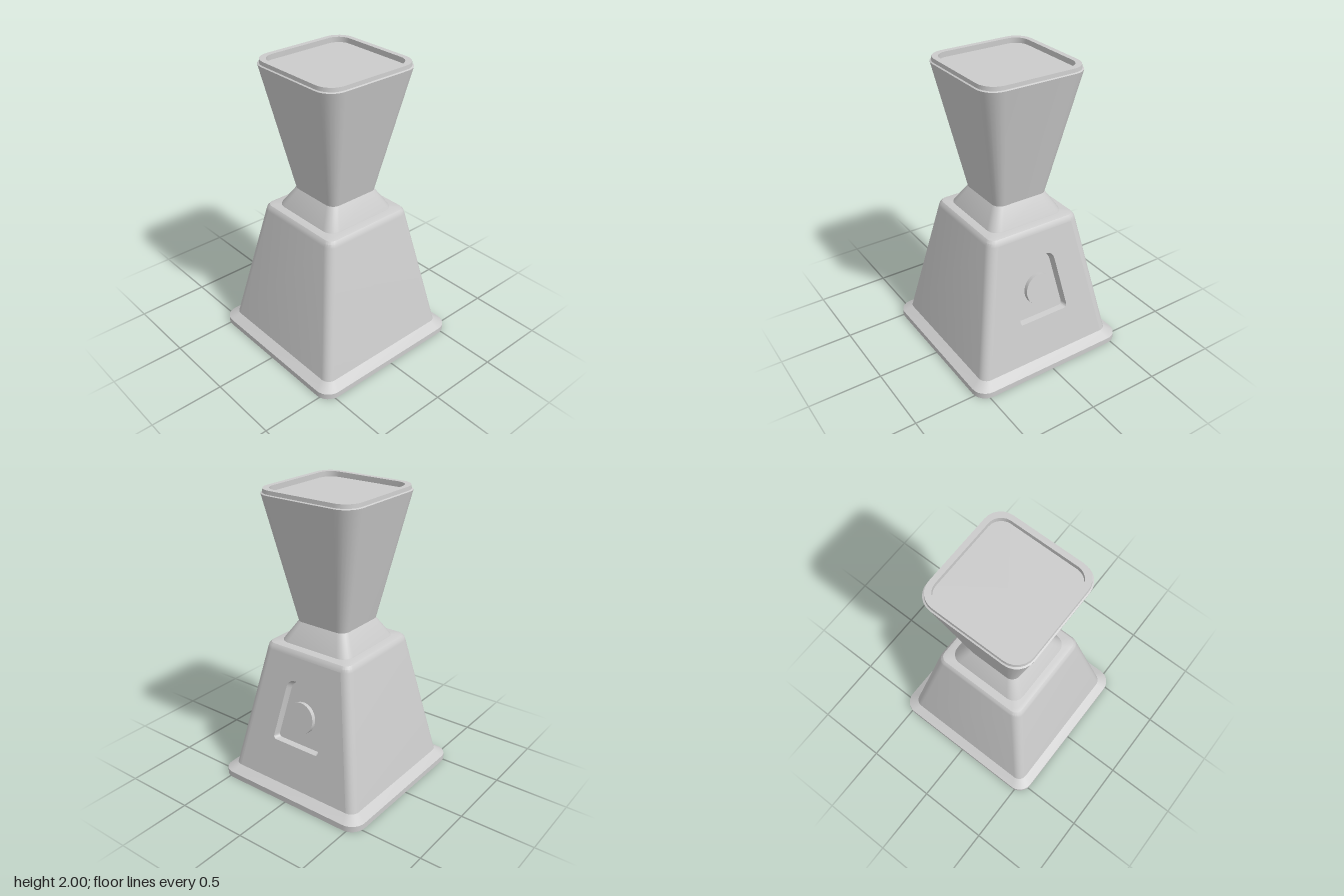
import * as THREE from 'three';
import { toCreasedNormals } from 'three/addons/utils/BufferGeometryUtils.js';

const material = new THREE.MeshStandardMaterial({ color: 0xcccccc });
const CORNER_STEPS = 6;

// Sloping side wall of the body: half width at a given height
const LOW = { h: 0.512, y: 0.08 }, HIGH = { h: 0.342, y: 0.95 }, R = 0.06;
const SLOPE = (LOW.h - HIGH.h) / (HIGH.y - LOW.y);
const TILT = Math.atan(SLOPE);
const wallX = (y) => LOW.h - SLOPE * (y - LOW.y);

// Point on the side wall: u across, v height, w out along the wall normal
const onWall = (u, v, w) =>
  new THREE.Vector3(wallX(v) + w * Math.cos(TILT), v + w * Math.sin(TILT), -u);

// Rounded square of half width h and corner radius r at height y
function roundedSquare([h, y, r]) {
  const ring = [];
  for (let c = 0; c < 4; c++) {
    const mid = (c + 0.5) * Math.PI / 2;
    const cx = Math.sign(Math.cos(mid)) * (h - r), cz = Math.sign(Math.sin(mid)) * (h - r);
    for (let i = 0; i <= CORNER_STEPS; i++) {
      const a = (c + i / CORNER_STEPS) * Math.PI / 2;
      ring.push(new THREE.Vector3(cx + r * Math.cos(a), y, cz + r * Math.sin(a)));
    }
  }
  return ring;
}

// Skin over closed rings; skip(band, segment) leaves a quad open
function loft(rings, skip = () => false) {
  const pos = [];
  const tri = (a, b, c) => {
    if (new THREE.Triangle(a, b, c).getArea() < 1e-9) return;
    for (const p of [a, b, c]) pos.push(p.x, p.y, p.z);
  };
  for (let k = 0; k + 1 < rings.length; k++) {
    const A = rings[k], B = rings[k + 1], n = A.length;
    for (let i = 0; i < n; i++) {
      if (skip(k, i)) continue;
      const j = (i + 1) % n;
      tri(A[i], B[i], A[j]);
      tri(B[i], B[j], A[j]);
    }
  }
  const geo = new THREE.BufferGeometry();
  geo.setAttribute('position', new THREE.Float32BufferAttribute(pos, 3));
  return toCreasedNormals(geo, 0.5);
}

// Tapered window outline with rounded corners, shrunk by an inset
function windowOutline(Type, inset) {
  const b = 0.365 + inset, t = 0.795 - inset, wb = 0.19 - inset * 1.2, wt = 0.115 - inset;
  const corners = [[-wb, b, 0.03], [wb, b, 0.03], [wt, t, 0.06], [-wt, t, 0.06]]
    .map(([x, y, r]) => ({ p: new THREE.Vector2(x, y), r }));
  const path = new Type();
  corners.forEach(({ p, r }, i) => {
    const toward = (q) => q.clone().sub(p).setLength(r).add(p);
    const start = toward(corners[(i + 3) % 4].p), end = toward(corners[(i + 1) % 4].p);
    if (i === 0) path.moveTo(start.x, start.y); else path.lineTo(start.x, start.y);
    path.quadraticCurveTo(p.x, p.y, end.x, end.y);
  });
  path.closePath();
  return path;
}

export function createModel() {
  const model = new THREE.Group();
  const add = (name, geometry) => {
    const mesh = new THREE.Mesh(geometry, material);
    mesh.name = name;
    model.add(mesh);
    return mesh;
  };

  // Hollow body: inside, flanged foot, sloping walls, rounded shoulder
  const profile = [
    [0, 0.95, 0], [0.27, 0.95, 0.04], [0.48, 0.04, 0.04], [0.5, 0.03, 0.05],
    [0.56, 0.03, 0.085], [0.56, 0, 0.085], [0.575, 0, 0.1], [0.575, 0.04, 0.1],
    [LOW.h, LOW.y, R], [HIGH.h, HIGH.y, R],
    [0.336, 0.972, 0.058], [0.322, 0.988, 0.05], [0.3, 0.995, 0.04], [0, 0.995, 0],
  ];
  const wallBand = 8, lastSegment = 4 * (CORNER_STEPS + 1) - 1;
  add('body', loft(profile.map(roundedSquare), (k, i) => k === wallBand && i === lastSegment));

  // Side panel with the window cut out
  const lowU = LOW.h - R, highU = HIGH.h - R;
  const panel = new THREE.Shape([[-lowU, LOW.y], [lowU, LOW.y], [highU, HIGH.y], [-highU, HIGH.y]]
    .map(([u, v]) => new THREE.Vector2(u, v)));
  panel.holes.push(windowOutline(THREE.Path, 0));
  const panelGeo = new THREE.ShapeGeometry(panel, 6);
  const p = panelGeo.attributes.position;
  for (let i = 0; i < p.count; i++) {
    const q = onWall(p.getX(i), p.getY(i), 0);
    p.setXYZ(i, q.x, q.y, q.z);
  }
  panelGeo.computeVertexNormals();
  add('sidePanel', panelGeo);

  // Recess behind the window
  const rim = windowOutline(THREE.Path, 0).getPoints(6).map((q) => onWall(q.x, q.y, 0));
  const floor = windowOutline(THREE.Path, 0.011).getPoints(6).map((q) => onWall(q.x, q.y, -0.042));
  const centre = floor.map(() => onWall(0, 0.56, -0.042));
  add('switchRecess', loft([centre, floor, rim]));

  // Round button in the recess
  const button = add('button', new THREE.CylinderGeometry(0.105, 0.105, 0.03, 40));
  button.position.copy(onWall(0, 0.56, -0.028));
  button.rotation.z = TILT - Math.PI / 2;

  // Neck between body and hopper
  add('neck', loft([[0.275, 0.99, 0.075], [0.272, 1.0, 0.075], [0.192, 1.13, 0.055], [0, 1.13, 0]]
    .map(roundedSquare)));

  // Flaring hopper with a rim around a sunken lid
  add('hopper', loft([
    [0, 1.128, 0], [0.197, 1.128, 0.06], [0.367, 1.97, 0.12], [0.358, 1.975, 0.115], [0.356, 2, 0.115],
    [0.32, 2, 0.09], [0.32, 1.965, 0.09],
  ].map(roundedSquare)));
  add('lid', loft([[0.32, 1.965, 0.09], [0, 1.965, 0]].map(roundedSquare)));

  return model;
}
